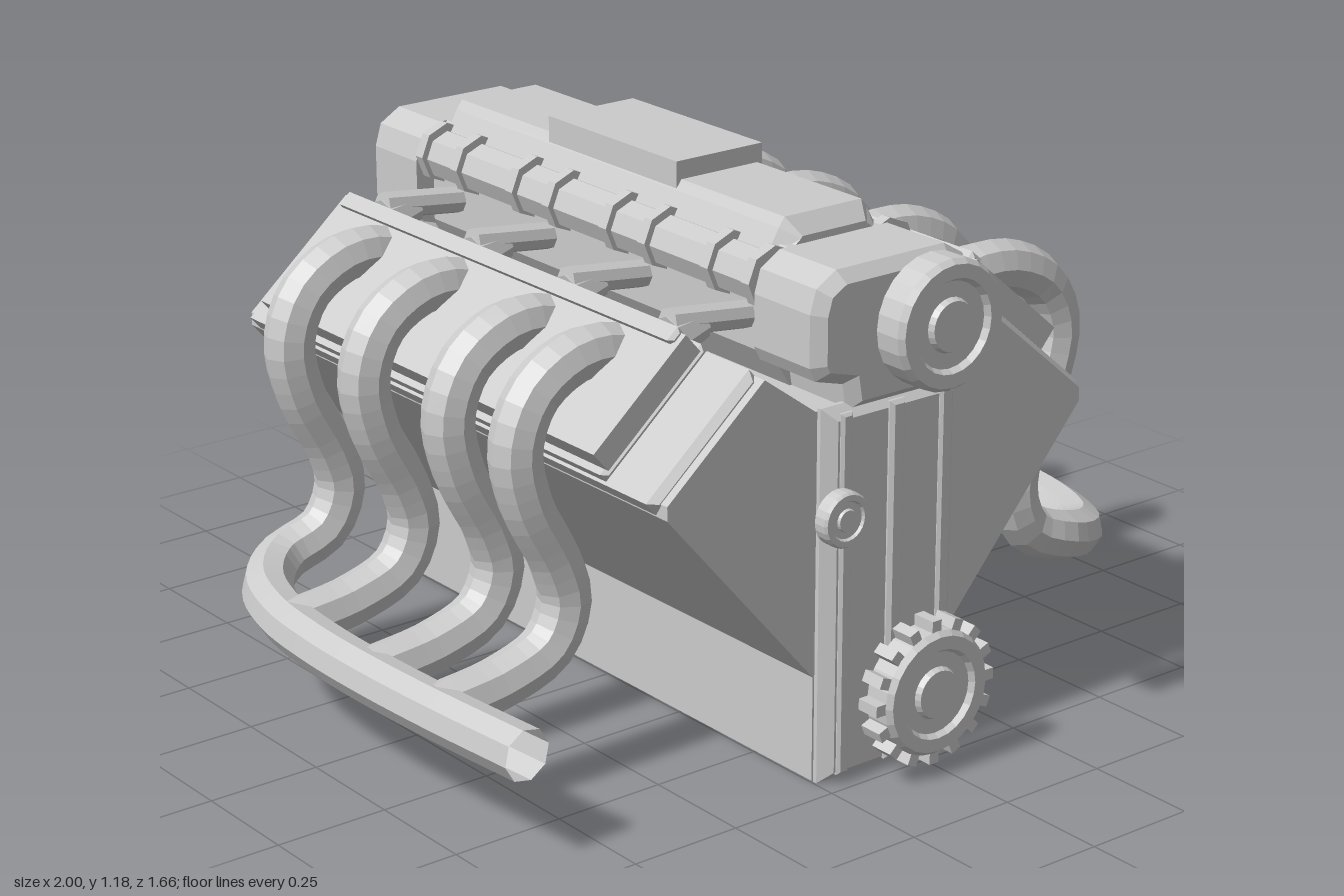
import * as THREE from 'three';

const CX = -0.07; // centre line of the engine block
const mat = new THREE.MeshStandardMaterial({ color: 0xcccccc, flatShading: true });
const open = new THREE.MeshStandardMaterial({ color: 0xcccccc, flatShading: true, side: THREE.DoubleSide });

export function createModel() {
  const root = new THREE.Group();
  const add = (name, geo, m = mat) => {
    const mesh = new THREE.Mesh(geo, m);
    mesh.name = name;
    root.add(mesh);
    return mesh;
  };
  // Extrudes an outline (u measured from the centre line) from z0 to z1
  const prism = (name, pts, z0, z1, bevel = 0) => {
    const shape = new THREE.Shape(pts.map(([u, y]) => new THREE.Vector2(CX + u, y)));
    const geo = new THREE.ExtrudeGeometry(shape, {
      depth: z1 - z0 - 2 * bevel, bevelEnabled: bevel > 0, bevelThickness: bevel,
      bevelSize: bevel, bevelOffset: -bevel, bevelSegments: 1,
    });
    geo.translate(0, 0, z0 + bevel);
    return add(name, geo);
  };
  const mirrored = (half) => [...half, ...half.map(([u, y]) => [-u, y]).reverse()];
  const flip = (pts, s) => pts.map(([u, y]) => [u * s, y]);
  const rect = (w, y0, y1) => [[-w, y0], [w, y0], [w, y1], [-w, y1]];

  // V shaped block with sump and valley
  prism('block', mirrored([[0.175, 0], [0.175, 0.23], [0.545, 0.66], [0.545, 0.69], [0.305, 0.895], [0.175, 0.8]]), -0.81, 0.68);
  prism('timingCover', rect(0.175, 0, 0.81), 0.66, 0.72, 0.025);
  prism('timingRib', rect(0.02, 0.02, 0.8), 0.71, 0.732, 0.008);
  for (const s of [-1, 1]) prism('timingEdge', rect(0.015, 0.02, 0.8).map(([u, y]) => [u + s * 0.13, y]), 0.71, 0.728, 0.006);

  // Cylinder heads and valve covers, laid out along (t) and away from (h) the sloped deck
  const onDeck = (t, h) => [0.56 - 0.757 * t + 0.653 * h, 0.68 + 0.653 * t + 0.757 * h];
  const slab = (t0, t1, h0, h1) => [onDeck(t0, h0), onDeck(t0, h1), onDeck(t1, h1), onDeck(t1, h0)];
  for (const s of [-1, 1]) {
    prism('cylinderHead', flip(slab(0, 0.335, -0.03, 0.015), s), -0.79, 0.66, 0.015);
    prism('headGasket', flip(slab(0.035, 0.315, 0, 0.05), s), -0.63, 0.5);
    prism('valveCover', flip(slab(0.02, 0.32, 0.045, 0.1), s), -0.663, 0.533);
    prism('coverFlange', flip(slab(0.005, 0.335, 0.022, 0.045), s), -0.66, 0.53, 0.01);
    prism('coverLip', flip(slab(0.29, 0.325, 0.09, 0.112), s), -0.65, 0.52, 0.008);
  }

  // Intake: end housings, central plenum and raised box
  const housing = mirrored([[0.11, 0.79], [0.12, 0.85], [0.19, 0.87], [0.205, 0.9], [0.205, 1.01], [0.19, 1.06], [0.14, 1.09]]);
  prism('frontHousing', housing, 0.5, 0.72, 0.025);
  prism('rearHousing', housing, -0.81, -0.65);
  prism('plenum', mirrored([[0.11, 0.79], [0.16, 0.87], [0.16, 1.05], [0.12, 1.09]]), -0.66, 0.53);
  prism('plenumTop', mirrored([[0.15, 1.06], [0.115, 1.12], [0.1, 1.14]]), -0.655, 0.525, 0.035);
  prism('throttleBox', rect(0.113, 1.1, 1.18), -0.28, 0.16);

  // Fuel rails with paired collars and a runner between each pair
  const RUNNERS = [0.445, 0.11, -0.22, -0.555];
  const frustum = (name, r0, r1, len, x, y, z, rot) => {
    const mesh = add(name, new THREE.CylinderGeometry(r1, r0, len, 8));
    mesh.position.set(x, y, z);
    mesh.rotation.set(...rot);
  };
  for (const s of [-1, 1]) {
    const x = CX + s * 0.15;
    frustum('fuelRail', 0.055, 0.055, 1.17, x, 1.025, -0.065, [Math.PI / 2, 0, 0]);
    for (const z of RUNNERS) {
      for (const dz of [-0.065, 0.065]) frustum('railCollar', 0.068, 0.068, 0.025, x, 1.03, z + dz, [Math.PI / 2, 0, 0]);
      frustum('runner', 0.03, 0.03, 0.2, CX + s * 0.26, 0.95, z, [0, 0, s * (Math.PI / 2 + 0.12)]);
      frustum('runnerFoot', 0.032, 0.048, 0.08, CX + s * 0.315, 0.935, z, [0, 0, -s * (Math.PI / 2 + 0.2)]);
    }
  }

  // Front wheels: lathe profile (radius, depth) with a recessed face and hub
  const wheel = (name, x, y, r, z0, z1) => {
    const d = z1 - z0;
    const profile = [[0, 0], [0.9, 0], [1, 0.15], [1, 0.85], [0.93, 1], [0.72, 1], [0.66, 0.85], [0.42, 0.85], [0.38, 1], [0, 1]];
    const geo = new THREE.LatheGeometry(profile.map(([a, b]) => new THREE.Vector2(a * r, b * d)), 24);
    const mesh = add(name, geo, open);
    mesh.rotation.x = Math.PI / 2;
    mesh.position.set(x, y, z0);
  };
  wheel('upperPulley', -0.018, 0.968, 0.137, 0.742, 0.828);
  wheel('idlerPulley', -0.272, 0.618, 0.058, 0.775, 0.815);
  wheel('crankGear', -0.033, 0.185, 0.135, 0.747, 0.828);
  for (let i = 0; i < 16; i++) {
    const a = (i / 16) * Math.PI * 2;
    const tooth = add('gearTooth', new THREE.BoxGeometry(0.04, 0.024, 0.055));
    tooth.position.set(-0.033 + 0.138 * Math.cos(a), 0.185 + 0.138 * Math.sin(a), 0.788);
    tooth.rotation.z = a;
  }

  // Exhaust: S-bent header pipes; the first on each side sweeps on into the collector
  const tube = (name, pts, seg) => add(name, new THREE.TubeGeometry(
    new THREE.CatmullRomCurve3(pts.map((p) => new THREE.Vector3(...p))), seg, 0.056, 8), open);
  const exhaust = (path, zs, collector, endX) => {
    zs.forEach((z, i) => {
      const pts = path.map(([x, y]) => [x, y, z]);
      if (i === 0) tube('collectorPipe', [...pts, ...collector], 60);
      else tube('headerPipe', [...pts, [endX, collector[2][1], z]], 32);
    });
  };
  exhaust(
    [[0.36, 0.87], [0.43, 0.885], [0.53, 0.875], [0.63, 0.82], [0.678, 0.72], [0.655, 0.6], [0.59, 0.46], [0.568, 0.35], [0.61, 0.255], [0.72, 0.205]],
    [0.39, 0.073, -0.262, -0.52],
    [[0.83, 0.175, 0.335], [0.9, 0.165, 0.2], [0.938, 0.16, 0], [0.945, 0.158, -0.25], [0.925, 0.158, -0.55], [0.885, 0.158, -0.828]], 0.93);
  exhaust(
    [[-0.46, 0.88], [-0.52, 0.9], [-0.6, 0.895], [-0.69, 0.84], [-0.732, 0.74], [-0.71, 0.62], [-0.64, 0.48], [-0.618, 0.39], [-0.66, 0.3], [-0.77, 0.255]],
    [-0.47, -0.187, 0.117, 0.347],
    [[-0.865, 0.24, -0.38], [-0.92, 0.235, -0.23], [-0.942, 0.235, -0.05], [-0.945, 0.235, 0.15], [-0.935, 0.235, 0.38], [-0.915, 0.235, 0.625]], -0.93);

  return root;
}
